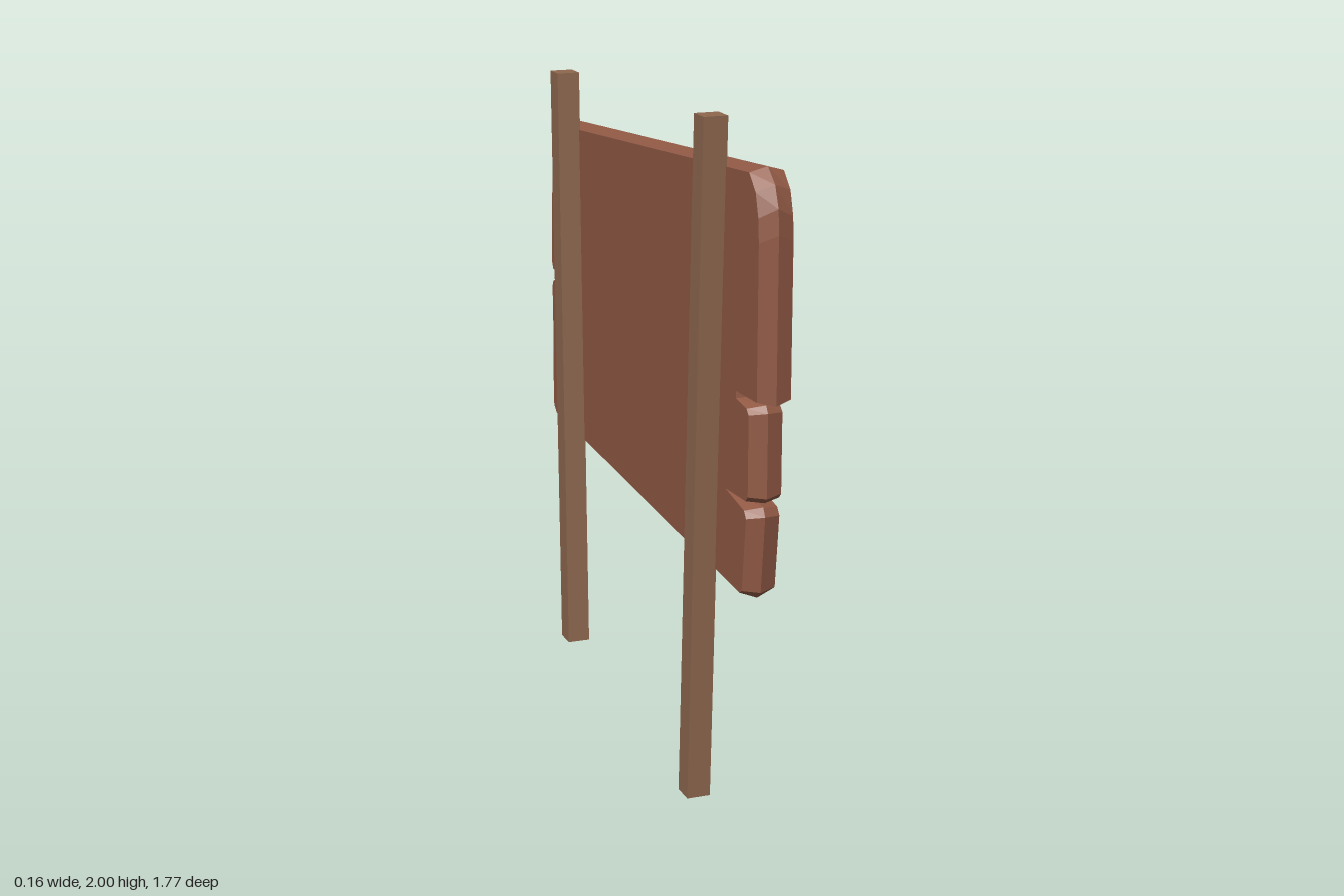
import * as THREE from 'three';

// Half-outline of the board: [ridge u, ridge y, face u, face y], u = -z, counter-clockwise
const OUTLINE = [
  [-0.81, 1.89, -0.80, 1.875],
  [-0.86, 1.85, -0.845, 1.83],
  [-0.885, 1.79, -0.865, 1.765],
  [-0.89, 1.72, -0.87, 1.70],
  [-0.89, 1.26, -0.87, 1.27],
  [-0.74, 1.26, -0.725, 1.265], // square notch
  [-0.74, 1.25, -0.725, 1.245],
  [-0.82, 1.245, -0.80, 1.235],
  [-0.835, 1.225, -0.815, 1.22],
  [-0.835, 0.985, -0.815, 0.99],
  [-0.82, 0.97, -0.80, 0.975],
  [-0.70, 0.968, -0.655, 0.968], // split
  [-0.81, 0.955, -0.79, 0.945],
  [-0.825, 0.93, -0.805, 0.925],
  [-0.80, 0.705, -0.78, 0.71],
  [-0.775, 0.683, -0.765, 0.70],
  [0.845, 0.765, 0.84, 0.78],
  [0.875, 0.79, 0.865, 0.80],
  [0.885, 0.83, 0.87, 0.83],
  [0.875, 1.02, 0.865, 1.02],
  [0.885, 1.215, 0.87, 1.205],
  [0.87, 1.24, 0.86, 1.225],
  [0.75, 1.255, 0.655, 1.26], // split
  [0.865, 1.25, 0.86, 1.265],
  [0.885, 1.28, 0.875, 1.29],
  [0.87, 1.57, 0.86, 1.56],
  [0.845, 1.605, 0.84, 1.58],
  [0.75, 1.625, 0.655, 1.628], // split
  [0.85, 1.63, 0.845, 1.64],
  [0.86, 1.65, 0.85, 1.65],
  [0.845, 1.74, 0.835, 1.735],
  [0.81, 1.765, 0.80, 1.75],
];

// Board: two flat faces joined through a wider ridge ring at mid thickness
function boardGeometry(xBack, xMid, xFront) {
  const n = OUTLINE.length;
  const positions = [];
  const index = [];
  for (const [x, k] of [[xBack, 2], [xMid, 0], [xFront, 2]]) {
    for (const p of OUTLINE) positions.push(x, p[k + 1], -p[k]);
  }
  for (let ring = 0; ring < 2; ring++) {
    for (let i = 0; i < n; i++) {
      const j = (i + 1) % n;
      const a = ring * n + i, b = ring * n + j;
      index.push(a, b, b + n, a, b + n, a + n);
    }
  }
  const face = OUTLINE.map((p) => new THREE.Vector2(p[2], p[3]));
  for (const [a, b, c] of THREE.ShapeUtils.triangulateShape(face, [])) {
    index.push(2 * n + a, 2 * n + b, 2 * n + c, a, c, b);
  }
  const g = new THREE.BufferGeometry();
  g.setAttribute('position', new THREE.Float32BufferAttribute(positions, 3));
  g.setIndex(index);
  const flat = g.toNonIndexed();
  flat.computeVertexNormals();
  return flat;
}

// Post: a box sheared along z so both ends stay level
function postGeometry(y0, y1, z0, z1) {
  const g = new THREE.BoxGeometry(0.07, y1 - y0, 0.07);
  g.translate(-0.05, (y0 + y1) / 2, 0);
  const p = g.attributes.position;
  for (let i = 0; i < p.count; i++) {
    const t = (p.getY(i) - y0) / (y1 - y0);
    p.setZ(i, p.getZ(i) + THREE.MathUtils.lerp(z0, z1, t));
  }
  g.computeVertexNormals();
  return g;
}

export function createModel() {
  const model = new THREE.Group();
  model.name = 'signboard';
  const boardWood = new THREE.MeshStandardMaterial({ color: 0x925a45, flatShading: true });
  const postWood = new THREE.MeshStandardMaterial({ color: 0x8f684f, flatShading: true });

  const add = (name, geometry, material) => {
    const mesh = new THREE.Mesh(geometry, material);
    mesh.name = name;
    model.add(mesh);
  };
  add('board', boardGeometry(-0.018, 0.03, 0.08), boardWood);
  add('tallPost', postGeometry(0, 2, 0.515, 0.61), postWood);
  add('shortPost', postGeometry(0.085, 1.945, -0.568, -0.625), postWood);
  return model;
}
